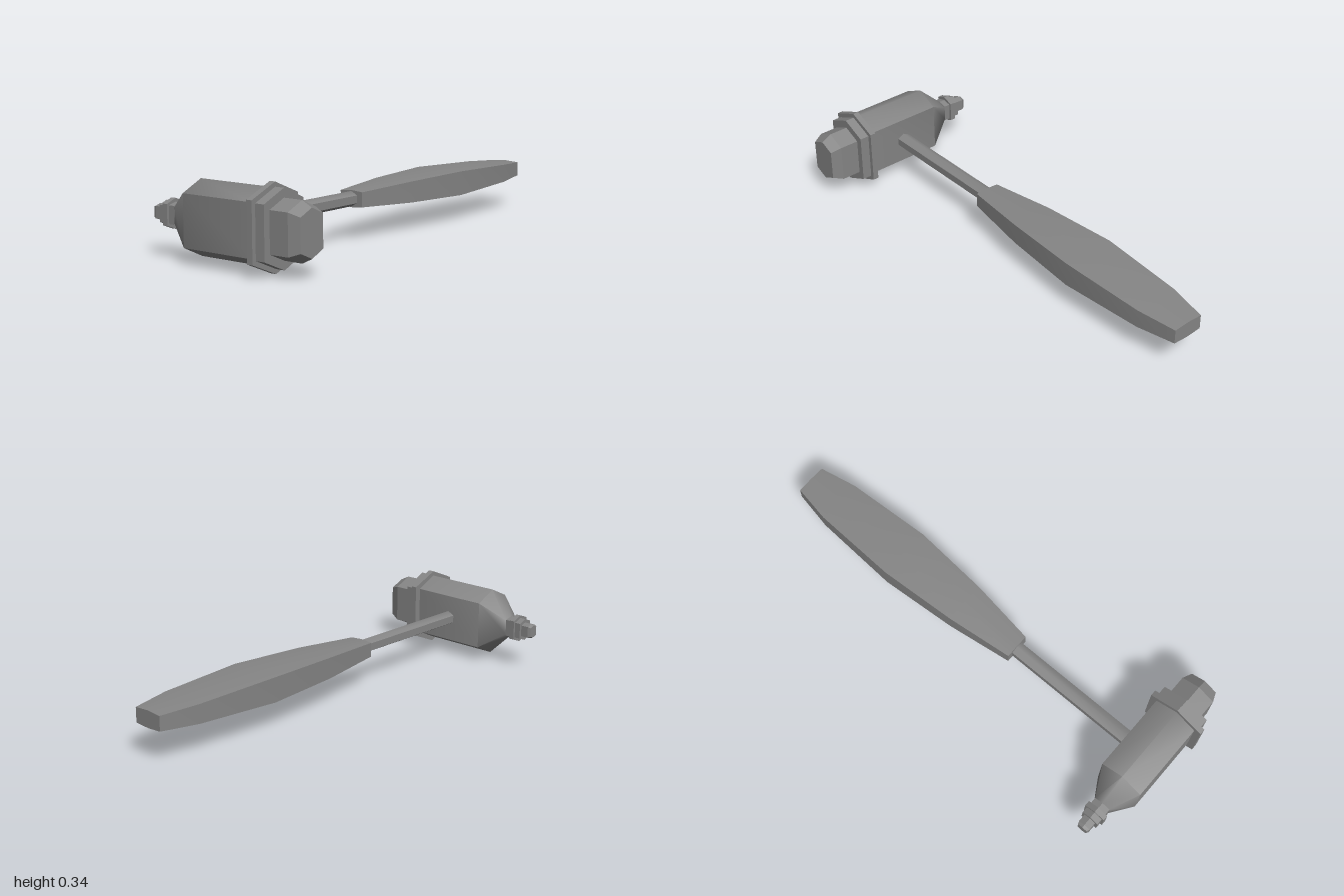
import * as THREE from 'three';
import { toCreasedNormals } from 'three/addons/utils/BufferGeometryUtils.js';

const material = new THREE.MeshStandardMaterial({ color: 0x858585 });
const FLAT = 0.02;
const SOFT = 1.03; // blends the crown ridge, keeps the side edges sharp

// Six-sided section: upright sides at +-w up to +-c, ridged to +-h.
function section(w, h, c, z) {
  return [[w, c], [0, h], [-w, c], [-w, -c], [0, -h], [w, -c]]
    .map(([x, y]) => new THREE.Vector3(x, y, z));
}

// Skin a list of [z, halfWidth, halfHeight] stations along +z and close both ends.
function loft(name, stations, cornerRatio, crease = FLAT) {
  const rings = stations.map(([z, w, h]) => section(w, h, h * cornerRatio, z));
  const pos = [];
  const tri = (...pts) => pts.forEach((p) => pos.push(p.x, p.y, p.z));
  const n = rings[0].length;
  for (let r = 0; r < rings.length - 1; r++) {
    const a = rings[r], b = rings[r + 1];
    for (let i = 0; i < n; i++) {
      const j = (i + 1) % n;
      tri(a[i], a[j], b[j]);
      tri(a[i], b[j], b[i]);
    }
  }
  const first = rings[0], last = rings[rings.length - 1];
  for (let i = 1; i < n - 1; i++) {
    tri(first[0], first[i + 1], first[i]);
    tri(last[0], last[i], last[i + 1]);
  }
  const geo = new THREE.BufferGeometry();
  geo.setAttribute('position', new THREE.Float32BufferAttribute(pos, 3));
  const mesh = new THREE.Mesh(toCreasedNormals(geo, crease), material);
  mesh.name = name;
  return mesh;
}

export function createModel() {
  const model = new THREE.Group();
  model.name = 'hammer';

  // Head: lofted along its own z, then turned so that axis runs along x
  const head = new THREE.Group();
  head.name = 'head';
  head.position.set(0.001, 0.1715, 0.873);
  head.rotation.y = Math.PI / 2;
  head.add(
    loft('noseTip', [[-0.393, 0.021, 0.027], [-0.381, 0.027, 0.033], [-0.34, 0.027, 0.033]], 0.75),
    loft('noseCollar', [[-0.346, 0.038, 0.049], [-0.315, 0.038, 0.049]], 0.7),
    loft('noseFlange', [[-0.319, 0.047, 0.061], [-0.296, 0.047, 0.061]], 0.7),
    loft('noseNeck', [[-0.298, 0.037, 0.046], [-0.268, 0.037, 0.046]], 0.8),
    // the narrow end of the barrel is sunk into the neck
    loft('barrel', [
      [-0.285, 0.026, 0.029], [-0.268, 0.036, 0.046], [-0.158, 0.097, 0.15], [0.195, 0.097, 0.15],
    ], 0.695, SOFT),
    loft('flange', [[0.191, 0.126, 0.171], [0.217, 0.126, 0.171]], 0.69),
    loft('collar', [[0.215, 0.108, 0.152], [0.259, 0.108, 0.152]], 0.69),
    loft('strikingCap', [[0.255, 0.079, 0.116], [0.345, 0.079, 0.116], [0.39, 0.062, 0.093]], 0.7)
  );
  model.add(head);

  // Handle: thin shaft and a swelling grip, along z
  const handle = new THREE.Group();
  handle.name = 'handle';
  handle.position.set(0.019, 0.172, 0);
  handle.add(
    loft('shaft', [[0.15, 0.03, 0.032], [0.8, 0.03, 0.032]], 0.5, SOFT),
    loft('grip', [
      [-1, 0.069, 0.036], [-0.83, 0.1, 0.046], [-0.45, 0.118, 0.061],
      [-0.11, 0.094, 0.052], [0.182, 0.056, 0.036],
    ], 0.87, SOFT)
  );
  model.add(handle);
  return model;
}
